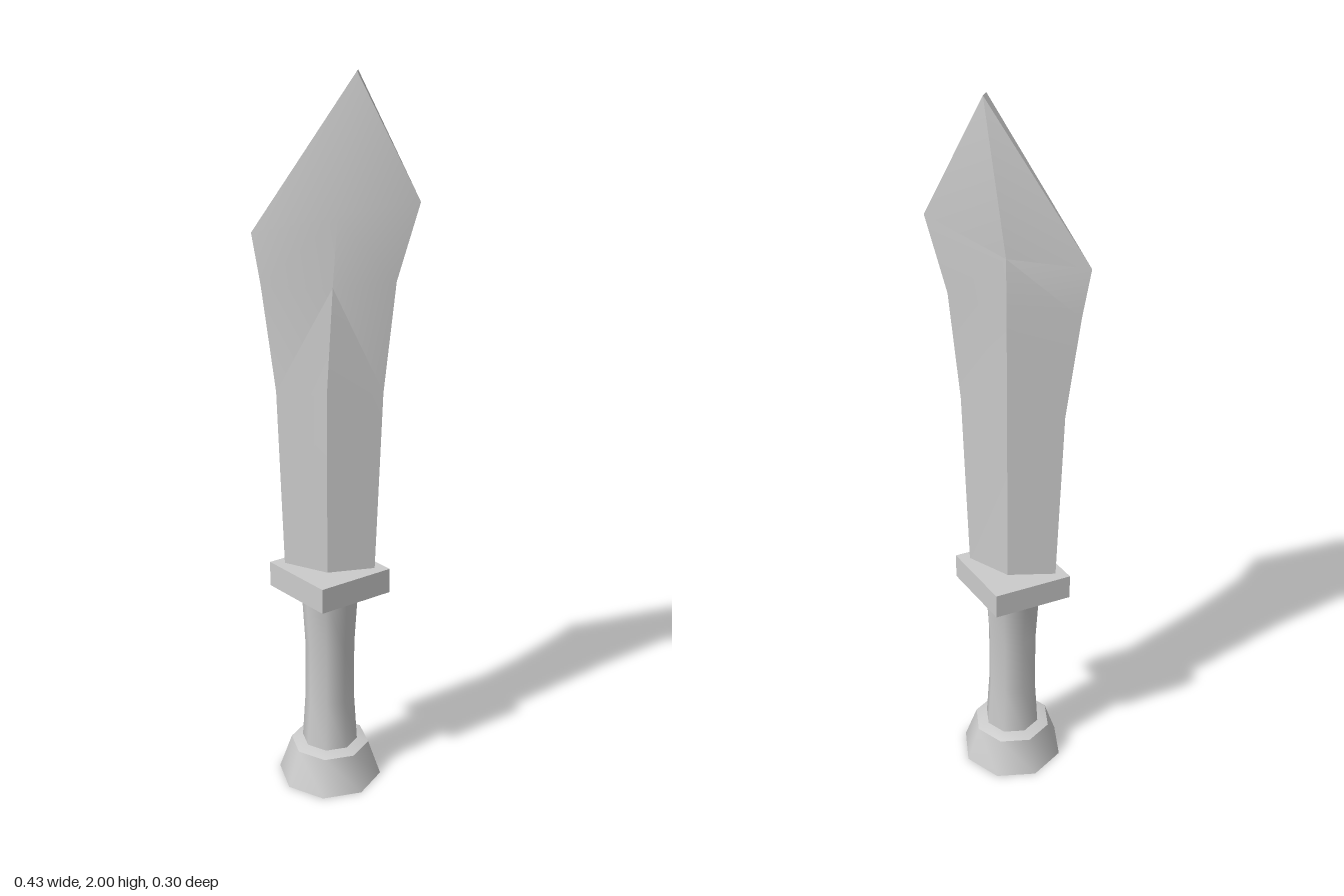
import * as THREE from 'three';
import { toCreasedNormals } from 'three/addons/utils/BufferGeometryUtils.js';

const AXIS = -0.015; // the handle sits slightly off centre
const material = new THREE.MeshStandardMaterial({ color: 0xcccccc });

function part(name, geometry, x = 0, y = 0) {
  const mesh = new THREE.Mesh(geometry, material);
  mesh.name = name;
  mesh.position.set(x, y, 0);
  return mesh;
}

// Eight-sided turned part, smooth around and sharp at its rims
function turned(profile) {
  const points = profile.map(([r, y]) => new THREE.Vector2(r, y));
  return toCreasedNormals(new THREE.LatheGeometry(points, 8), 0.85);
}

// Blade lofted through diamond sections: left edge, front ridge, right edge, back ridge
function bladeGeometry() {
  const sections = [
    [[-0.14, 0.66, 0], [AXIS, 0.66, 0.045], [0.11, 0.66, 0], [AXIS, 0.66, -0.045]],
    [[-0.157, 1.17, 0], [AXIS, 1.18, 0.05], [0.128, 1.18, 0], [AXIS, 1.18, -0.05]],
    [[-0.193, 1.46, 0], [0, 1.47, 0.045], [0.158, 1.48, 0], [AXIS, 1.47, -0.054]],
    [[-0.215, 1.595, 0], [0.012, 1.65, 0.042], [0.215, 1.685, 0], [AXIS, 1.62, -0.058]],
    [[0.055, 2, 0], [0.055, 2, 0.013], [0.055, 2, 0], [0.055, 2, -0.013]],
  ];
  const index = [];
  for (let s = 0; s < sections.length - 1; s++) {
    for (let i = 0; i < 4; i++) {
      const a = s * 4 + i, b = s * 4 + (i + 1) % 4;
      // Split every quad from its cutting edge to the ridge above
      if (i % 2 === 0) index.push(a, b, b + 4, a, b + 4, a + 4);
      else index.push(a, b, a + 4, b, b + 4, a + 4);
    }
  }
  index.push(0, 2, 1, 0, 3, 2);
  const geometry = new THREE.BufferGeometry();
  geometry.setAttribute('position', new THREE.Float32BufferAttribute(sections.flat(2), 3));
  geometry.setIndex(index);
  return toCreasedNormals(geometry, Math.PI / 6);
}

export function createModel() {
  const group = new THREE.Group();
  group.name = 'shortSword';

  group.add(part('pommel', turned([[0, 0], [0.148, 0], [0.112, 0.105], [0.08, 0.115], [0, 0.115]]), AXIS));
  group.add(part('grip', turned([[0.08, 0.1], [0.07, 0.26], [0.07, 0.43], [0.08, 0.6]]), AXIS));

  // Diamond-shaped guard
  const guard = new THREE.CylinderGeometry(0.148, 0.148, 0.072, 4).toNonIndexed();
  guard.scale(0.167 / 0.148, 1, 1);
  guard.computeVertexNormals();
  group.add(part('guard', guard, AXIS, 0.631));

  group.add(part('blade', bladeGeometry()));
  return group;
}
